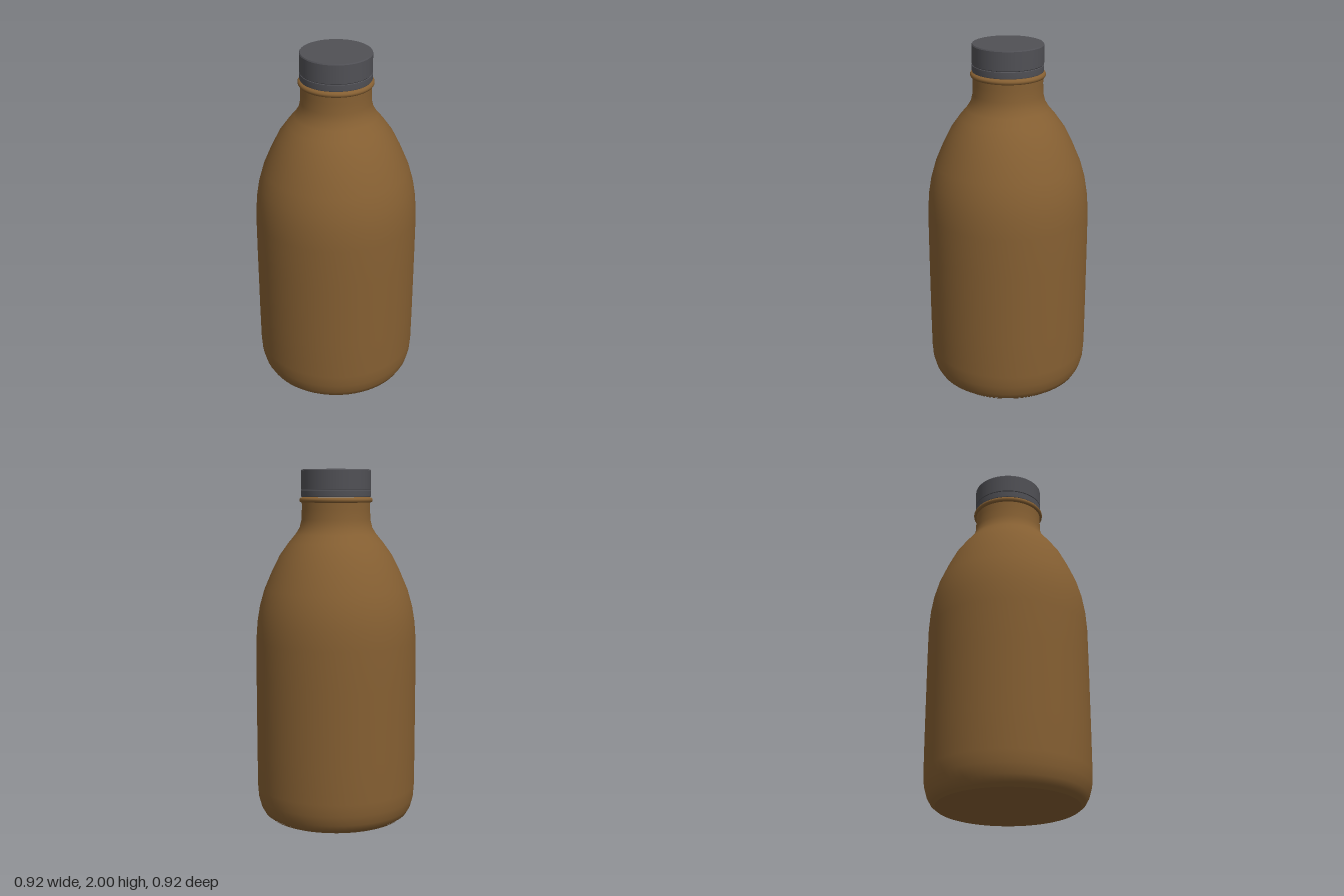
import * as THREE from 'three';

const SEGMENTS = 64;

// Revolves [radius, height] points; a repeated point makes a sharp edge
function revolve(name, points, color) {
  const profile = points.map(([r, y]) => new THREE.Vector2(r, y));
  const mesh = new THREE.Mesh(
    new THREE.LatheGeometry(profile, SEGMENTS),
    new THREE.MeshStandardMaterial({ color })
  );
  mesh.name = name;
  return mesh;
}

export function createModel() {
  const group = new THREE.Group();
  group.name = 'bottle';
  const brown = 0x855f32, darkGrey = 0x505055;

  // Body: flat base, rounded heel, straight wall, sloping shoulder, neck
  group.add(revolve('body', [
    [0, 0.005], [0.37, 0.005], [0.37, 0.005], [0.395, 0.005], [0.42, 0.02], [0.44, 0.055],
    [0.455, 0.11], [0.46, 0.18], [0.461, 0.4], [0.461, 0.8], [0.46, 1.03],
    [0.452, 1.14], [0.437, 1.23], [0.41, 1.325], [0.365, 1.43], [0.32, 1.52],
    [0.27, 1.59], [0.23, 1.638], [0.207, 1.675], [0.196, 1.72], [0.194, 1.78], [0.194, 1.84],
    [0.194, 1.84], [0, 1.84],
  ], brown));

  // Collar: rounded ring under the cap
  group.add(revolve('neckRing', [
    [0.19, 1.815], [0.203, 1.818], [0.208, 1.826], [0.208, 1.834],
    [0.203, 1.842], [0.19, 1.846],
  ], brown));

  // Cap: tamper band, fine groove, skirt and flat top
  group.add(revolve('cap', [
    [0, 1.848], [0.196, 1.848], [0.196, 1.848], [0.198, 1.852], [0.198, 1.884],
    [0.198, 1.884], [0.195, 1.887], [0.195, 1.887], [0.198, 1.891],
    [0.198, 1.891], [0.198, 1.994], [0.198, 1.994], [0.194, 2], [0.194, 2], [0, 2],
  ], darkGrey));

  // Base: thin standing foot
  group.add(revolve('foot', [
    [0, 0], [0.395, 0], [0.395, 0], [0.41, 0.012],
  ], brown));

  return group;
}
